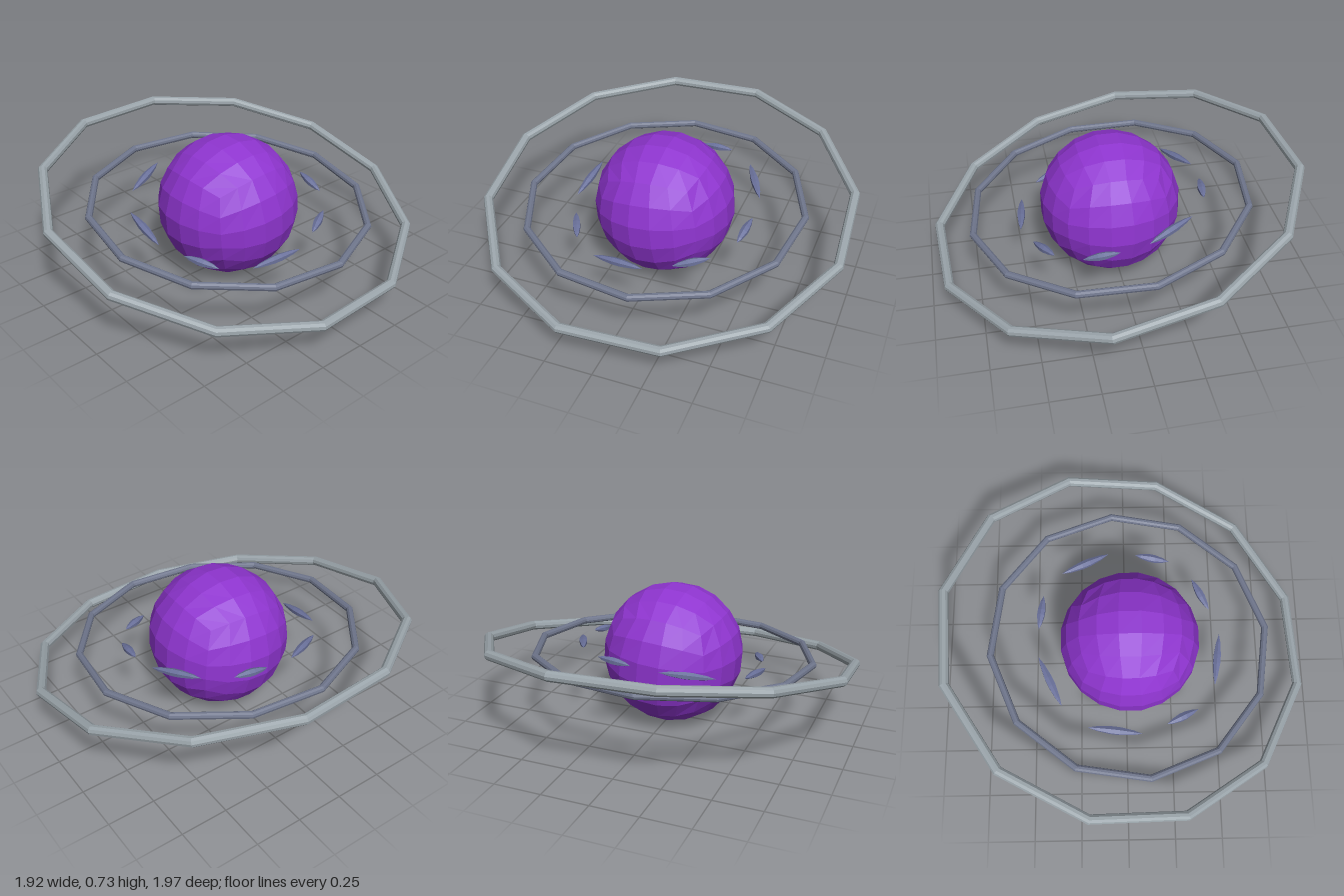
import * as THREE from 'three';

const mat = (color) => new THREE.MeshStandardMaterial({ color, flatShading: true });

// Low-poly ball: a subdivided cube pushed out to a sphere
function ballGeometry(radius, n) {
  const g = new THREE.BoxGeometry(2, 2, 2, n, n, n);
  const p = g.attributes.position;
  const v = new THREE.Vector3();
  const even = (t) => Math.tan(t * Math.PI / 4);
  for (let i = 0; i < p.count; i++) {
    v.fromBufferAttribute(p, i);
    v.set(even(v.x), even(v.y), even(v.z)).setLength(radius);
    p.setXYZ(i, v.x, v.y, v.z);
  }
  g.computeVertexNormals();
  return g;
}

// Twelve-sided ring lying in the plane y = -slopeX * x + slopeZ * z
function ring(name, radius, tube, startDeg, slopeX, slopeZ, material) {
  const g = new THREE.TorusGeometry(radius, tube, 10, 12);
  g.rotateX(Math.PI / 2);
  g.rotateY(-THREE.MathUtils.degToRad(startDeg));
  const m = new THREE.Mesh(g, material);
  m.name = name;
  const normal = new THREE.Vector3(slopeX, 1, -slopeZ).normalize();
  m.quaternion.setFromUnitVectors(new THREE.Vector3(0, 1, 0), normal);
  return m;
}

export function createModel() {
  const model = new THREE.Group();
  model.name = 'ringedPlanet';

  // Planet
  const planet = new THREE.Mesh(ballGeometry(0.372, 5), mat(0x8f35d0));
  planet.name = 'planet';
  planet.position.set(0.022, 0.373, 0.005);
  planet.rotation.x = 0.08;
  model.add(planet);

  // Tilted rings
  const outer = ring('outerRing', 0.98, 0.026, 11.8, 0.222, 0.02, mat(0x9aa4aa));
  outer.position.set(-0.003, 0.385, -0.005);
  const inner = ring('innerRing', 0.742, 0.019, -7.2, 0.091, 0, mat(0x6f768c));
  inner.position.set(0.025, 0.378, 0.005);
  model.add(outer, inner);

  // Pointed shards orbiting close to the planet: [x1, z1, x2, z2]
  const shards = new THREE.Group();
  shards.name = 'shards';
  const profile = [[0, -0.5], [0.6, -0.33], [1, -0.08], [1, 0.08], [0.6, 0.33], [0, 0.5]]
    .map(([r, y]) => new THREE.Vector2(r, y));
  const shardGeometry = new THREE.LatheGeometry(profile, 6);
  const shardMaterial = mat(0x6b729c);
  const height = (x, z) => 0.382 - 0.19 * x - 0.078 * z;
  const ends = [
    [-0.335, -0.35, -0.085, -0.48], [0.06, -0.485, 0.245, -0.46],
    [0.37, -0.365, 0.46, -0.195], [0.51, -0.06, 0.475, 0.225],
    [0.38, 0.36, 0.21, 0.445], [0.08, 0.5, -0.205, 0.475],
    [-0.335, 0.37, -0.455, 0.115], [-0.43, -0.22, -0.455, -0.035],
  ];
  for (const [x1, z1, x2, z2] of ends) {
    const a = new THREE.Vector3(x1, height(x1, z1), z1);
    const b = new THREE.Vector3(x2, height(x2, z2), z2);
    const along = b.clone().sub(a);
    const length = along.length();
    along.normalize();
    const side = new THREE.Vector3().crossVectors(along, new THREE.Vector3(0, 1, 0)).normalize();
    const up = new THREE.Vector3().crossVectors(side, along);
    const shard = new THREE.Mesh(shardGeometry, shardMaterial);
    shard.name = 'shard';
    shard.quaternion.setFromRotationMatrix(new THREE.Matrix4().makeBasis(side, along, up));
    shard.position.copy(a).add(b).multiplyScalar(0.5);
    shard.scale.set(0.022, length, 0.019);
    shards.add(shard);
  }
  model.add(shards);

  return model;
}
